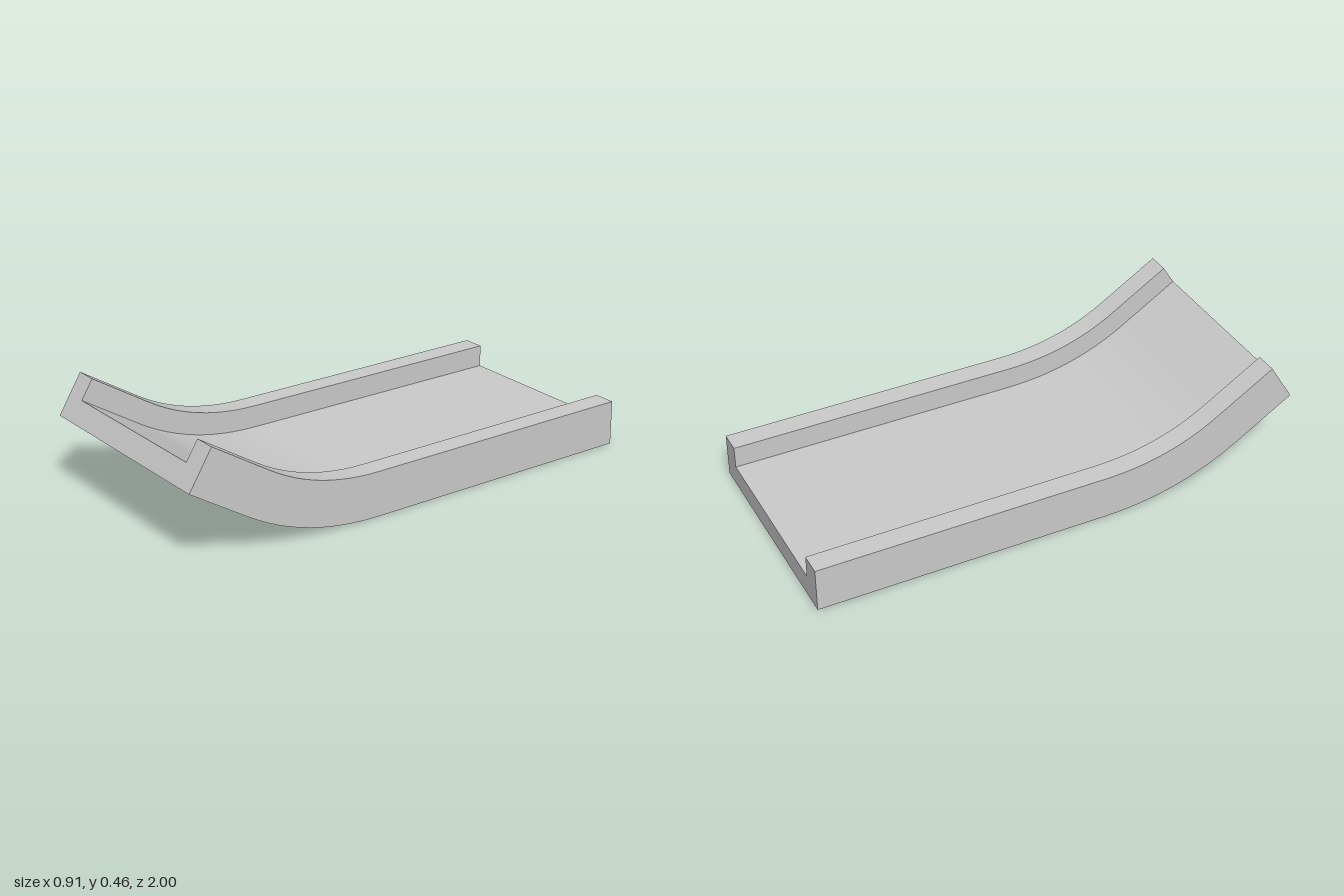
import * as THREE from 'three';

const W = 0.453, INNER = 0.363, H = 0.1815, FLOOR = 0.091;

// Channel cross-section, open underneath: [x, height above the path]
const profile = [
  [-W, 0], [-W, H], [-INNER, H], [-INNER, FLOOR],
  [INNER, FLOOR], [INNER, H], [W, H], [W, 0],
];

// Side path of the lower edge (z, y): flat run, bend, raised lip
function pathPoints() {
  const bend = new THREE.QuadraticBezierCurve(
    new THREE.Vector2(0.18, 0), new THREE.Vector2(0.507, 0), new THREE.Vector2(0.76, 0.158));
  const stations = [{ p: new THREE.Vector2(-1, 0), t: new THREE.Vector2(1, 0) }];
  const steps = 12;
  for (let i = 0; i <= steps; i++) {
    stations.push({ p: bend.getPoint(i / steps), t: bend.getTangent(i / steps) });
  }
  stations.push({ p: new THREE.Vector2(1, 0.308), t: bend.getTangent(1) });
  return stations;
}

function buildMesh(name, quads, material) {
  const positions = [];
  for (const [a, b, c, d] of quads) {
    for (const v of [a, b, c, a, c, d]) positions.push(v.x, v.y, v.z);
  }
  const geometry = new THREE.BufferGeometry();
  geometry.setAttribute('position', new THREE.Float32BufferAttribute(positions, 3));
  geometry.computeVertexNormals();
  const mesh = new THREE.Mesh(geometry, material);
  mesh.name = name;
  return mesh;
}

export function createModel() {
  const group = new THREE.Group();
  group.name = 'curvedChannel';
  const material = new THREE.MeshStandardMaterial({
    color: 0xcccccc, flatShading: true, side: THREE.DoubleSide,
  });

  // Cross-sections set square to the path
  const rings = pathPoints().map(({ p, t }) =>
    profile.map(([x, h]) => new THREE.Vector3(x, p.y + h * t.x, p.x - h * t.y)));

  // Lengthwise strips, one per profile edge
  const names = ['rightOuterWall', 'rightRailTop', 'rightInnerWall', 'floor',
    'leftInnerWall', 'leftRailTop', 'leftOuterWall'];
  names.forEach((name, j) => {
    const quads = [];
    for (let i = 0; i < rings.length - 1; i++) {
      quads.push([rings[i][j], rings[i + 1][j], rings[i + 1][j + 1], rings[i][j + 1]]);
    }
    group.add(buildMesh(name, quads, material));
  });

  // U-shaped end faces
  const cap = [[0, 1, 2, 3], [0, 3, 4, 7], [4, 5, 6, 7]];
  const back = rings[0], front = rings[rings.length - 1];
  group.add(buildMesh('backEnd', cap.map(q => q.map(k => back[k])), material));
  group.add(buildMesh('frontEnd', cap.map(q => q.map(k => front[k]).reverse()), material));

  return group;
}
